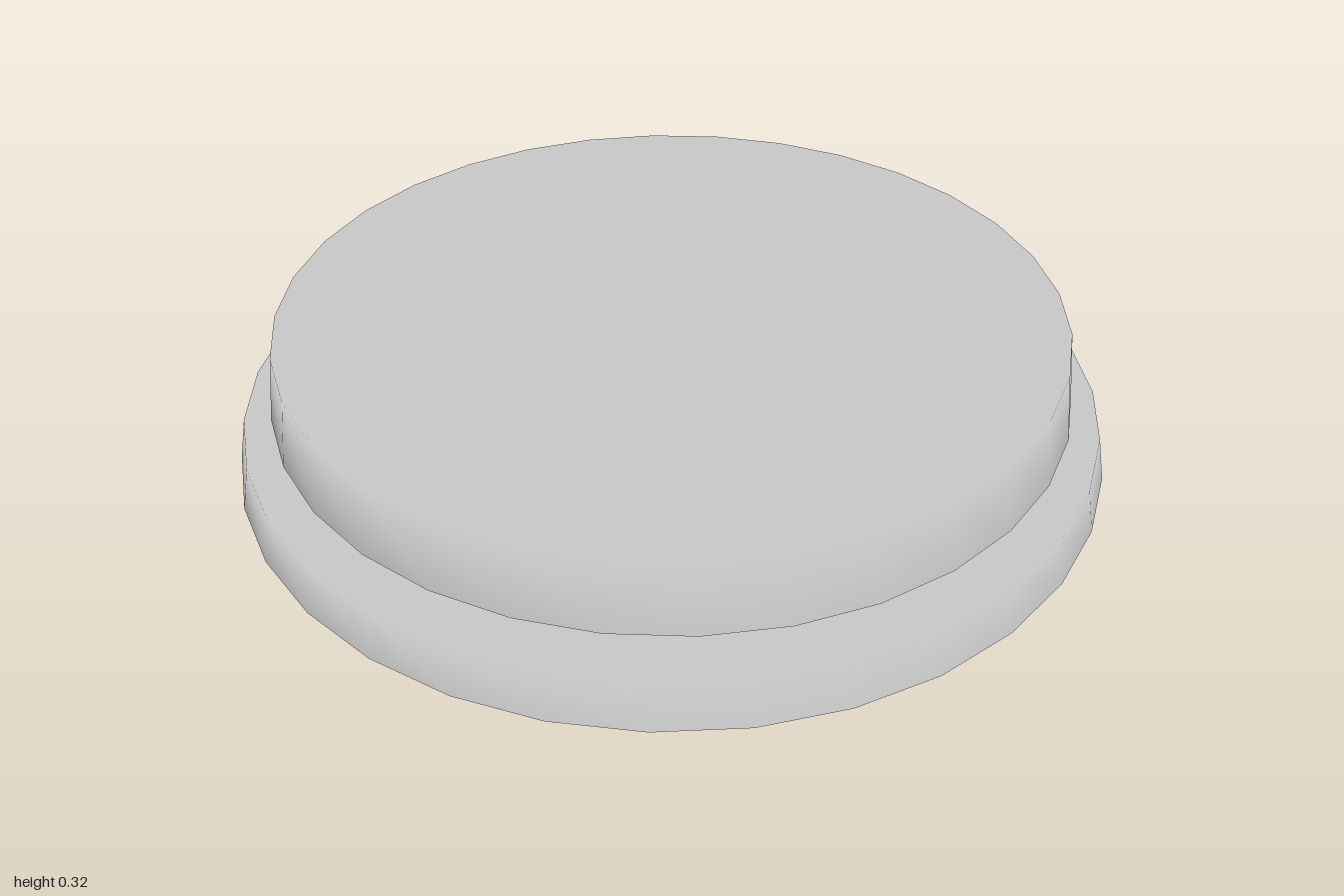
import * as THREE from 'three';

const SIDES = 32;
const HALF_STEP = Math.PI / SIDES;

// Thin tapered cap, open below; the rim shares the top's normal for a soft edge
function openCap(name, topRadius, bottomRadius, y0, y1, turn) {
  const profile = [
    new THREE.Vector2(bottomRadius, y0),
    new THREE.Vector2(topRadius, y1),
    new THREE.Vector2(0, y1),
  ];
  const geometry = new THREE.LatheGeometry(profile, SIDES, turn);
  const { position, normal } = geometry.attributes;
  for (let i = 0; i < position.count; i++) {
    if (position.getY(i) > (y0 + y1) / 2) normal.setXYZ(i, 0, 1, 0);
  }
  const material = new THREE.MeshStandardMaterial({ color: 0xcccccc, side: THREE.DoubleSide });
  const mesh = new THREE.Mesh(geometry, material);
  mesh.name = name;
  return mesh;
}

export function createModel() {
  const model = new THREE.Group();
  model.name = 'twoTierCaps';
  // Wide base, turned half a step so flats face the axes
  model.add(openCap('baseCap', 0.985, 1 / Math.cos(HALF_STEP), 0, 0.104, HALF_STEP));
  // Smaller cap floating just above the base
  model.add(openCap('upperCap', 0.897, 0.916, 0.157, 0.317, 0));
  return model;
}
